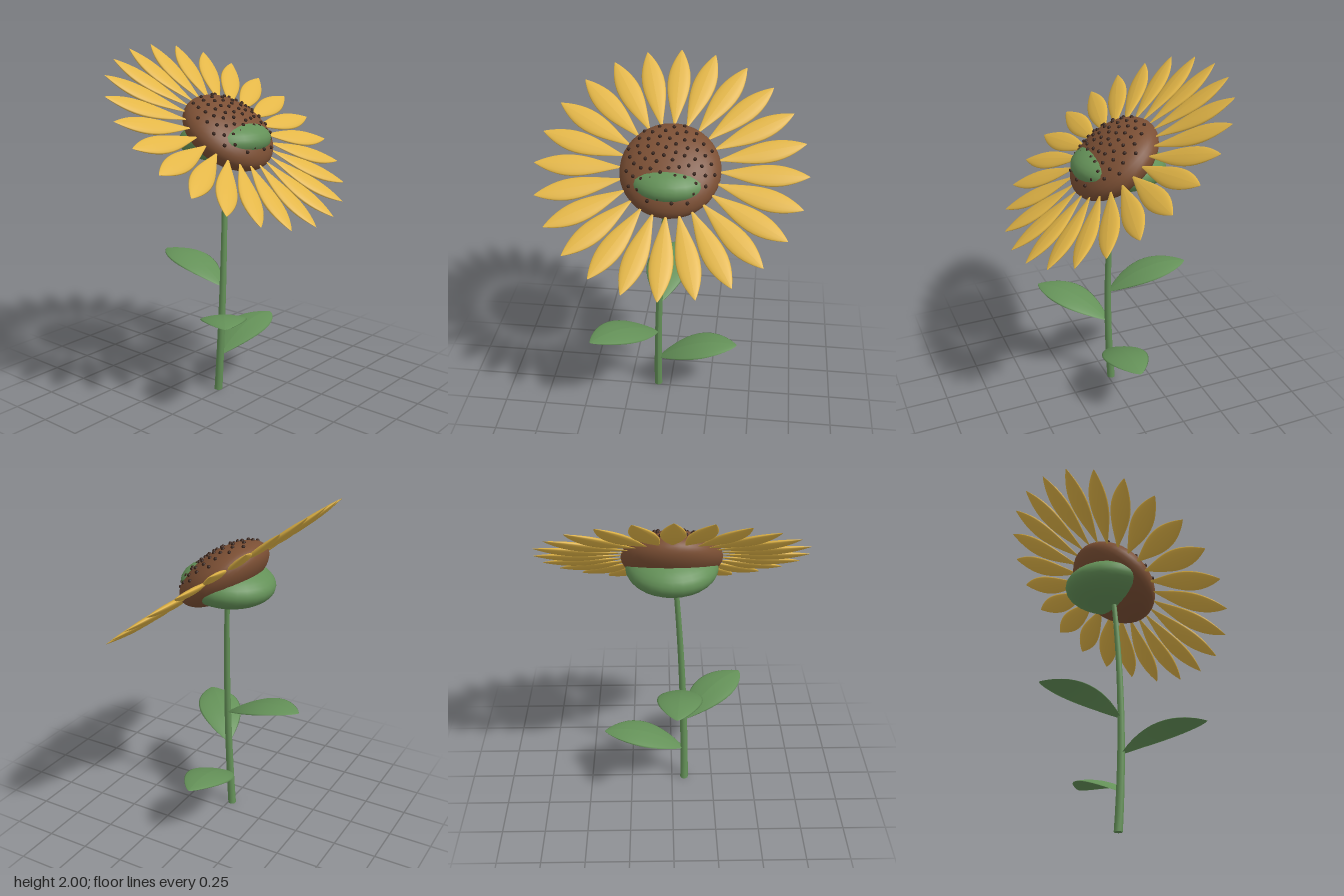
import * as THREE from 'three';

const material = (name, color) => {
  const m = new THREE.MeshStandardMaterial({ color });
  m.name = name;
  return m;
};

// Move every vertex of a geometry by a rule
function reshape(geometry, rule) {
  const p = geometry.attributes.position;
  const v = new THREE.Vector3();
  for (let i = 0; i < p.count; i++) {
    rule(v.fromBufferAttribute(p, i));
    p.setXYZ(i, v.x, v.y, v.z);
  }
  geometry.computeVertexNormals();
  return geometry;
}

// Lens-shaped blade growing along +y, with its upper face towards +z.
// skew moves the widest point outward, round fills out both ends.
function blade({ length, halfWidth, thickness, droop, skew, round, arch }) {
  const g = new THREE.CylinderGeometry(1, 1, 1, 16, 20, true);
  return reshape(g, (v) => {
    // rings are packed towards both ends
    const t = 0.5 - 0.5 * Math.cos(Math.PI * THREE.MathUtils.clamp(v.y + 0.5, 0, 1));
    const w = Math.max(Math.sin(Math.PI * Math.pow(t, skew)), 0.0005) ** round;
    const side = v.x;
    v.set(side * w * halfWidth, t * length, v.z * w * thickness + arch(t) - droop * side * side * w);
  });
}

// Centre line of the gently bent stem
const stemX = (y) => -0.077 + 0.03 * y * y;
const stemZ = (y) => -0.02 + 0.07 * y - 0.0476 * y * y;

export function createModel() {
  const green = material('leaf green', 0x649158);
  const yellow = material('petal yellow', 0xe3b647);
  const brown = material('disc brown', 0x7b4f34);
  const dark = material('seed dark brown', 0x38231a);

  const model = new THREE.Group();
  model.name = 'sunflower';
  const add = (parent, name, geometry, mat) => {
    const mesh = new THREE.Mesh(geometry, mat);
    mesh.name = name;
    parent.add(mesh);
    return mesh;
  };

  // Tapered stem
  const stemGeometry = new THREE.CylinderGeometry(0.014, 0.024, 1.45, 12, 16);
  stemGeometry.translate(0, 0.725, 0);
  add(model, 'stem', reshape(stemGeometry, (v) => {
    v.x += stemX(v.y);
    v.z += stemZ(v.y);
  }), green);

  // Three arched leaves spiralling up the stem
  const leafGeometry = blade({
    length: 0.485, halfWidth: 0.13, thickness: 0.005, droop: 0.018, skew: 1.08, round: 0.75,
    arch: (t) => 0.365 * t - 0.23 * t * t,
  });
  leafGeometry.rotateX(-Math.PI / 2);
  for (let i = 0; i < 3; i++) {
    const y = 0.22 + i * 0.2125;
    const leaf = add(model, 'leaf', leafGeometry, green);
    leaf.position.set(stemX(y), y, stemZ(y));
    leaf.rotation.y = -i * 2.4 - Math.PI / 2;
  }

  // Cup under the flower head
  const cup = add(model, 'calyx', new THREE.SphereGeometry(1, 28, 18), green);
  cup.scale.set(0.255, 0.122, 0.266);
  cup.position.set(0, 1.494, -0.033);
  cup.rotation.x = -0.05;

  // Tilted flower head: local +z is the face
  const head = new THREE.Group();
  head.name = 'flowerHead';
  head.position.y = 1.545;
  head.rotation.x = -0.922;
  model.add(head);

  const discRadius = 0.279, discDepth = 0.134, discZ = -0.01;
  const disc = add(head, 'seedDisc', new THREE.SphereGeometry(1, 32, 20), brown);
  disc.scale.set(discRadius, discRadius, discDepth);
  disc.position.z = discZ;

  // Ring of petals
  const petalGeometry = blade({
    length: 0.505, halfWidth: 0.065, thickness: 0.017, droop: 0, skew: 1.32, round: 0.88,
    arch: (t) => -0.01 * Math.sin(Math.PI * t),
  });
  petalGeometry.translate(0, 0.25, 0);
  for (let i = 0; i < 24; i++) {
    const petal = add(head, 'petal', petalGeometry, yellow);
    petal.rotation.z = (i / 24) * Math.PI * 2;
  }

  // Seeds in a sunflower spiral over the dome
  const seedGeometry = new THREE.SphereGeometry(0.0105, 8, 6);
  const seeds = new THREE.Group();
  seeds.name = 'seeds';
  head.add(seeds);
  const count = 70;
  for (let i = 0; i < count; i++) {
    const r = 0.253 * Math.sqrt((i + 0.5) / count);
    const a = i * 2.39996;
    const z = discZ + discDepth * Math.sqrt(1 - (r / discRadius) ** 2);
    add(seeds, 'seed', seedGeometry, dark).position.set(r * Math.cos(a), r * Math.sin(a), z + 0.002);
  }

  return model;
}
